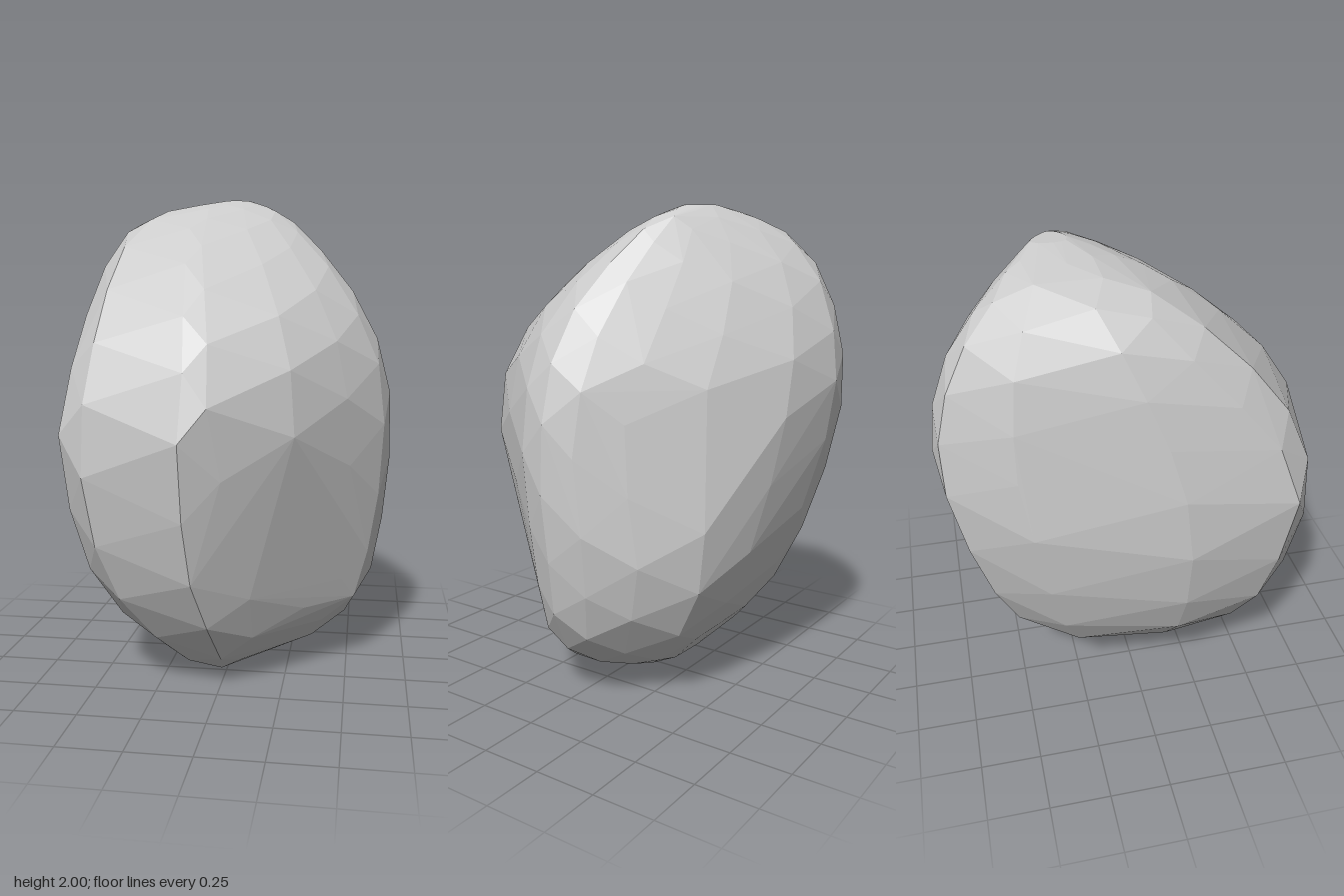
import * as THREE from 'three';
import { ConvexGeometry } from 'three/addons/geometries/ConvexGeometry.js';

// Rounded-triangle outlines in unit coordinates (u along x, v along z)
const LOWER = [
  [0.18, 0.01], [0.3, 0], [0.55, 0.02], [0.74, 0.06], [0.89, 0.2], [0.98, 0.33], [1, 0.45], [0.97, 0.53],
  [0.89, 0.6], [0.77, 0.71], [0.58, 0.88], [0.42, 1], [0.13, 0.94], [0.05, 0.86], [0, 0.58], [0.05, 0.19],
];
const MIDDLE = [
  [0.18, 0.01], [0.28, 0], [0.5, 0.045], [0.73, 0.19], [0.88, 0.32], [0.97, 0.41], [1, 0.49], [0.98, 0.56],
  [0.87, 0.7], [0.72, 0.86], [0.5, 0.985], [0.43, 1], [0.14, 0.94], [0.06, 0.885], [0, 0.58], [0.05, 0.19],
];
const UPPER = [
  [0.18, 0.02], [0.28, 0], [0.45, 0.06], [0.65, 0.19], [0.82, 0.33], [0.95, 0.46], [1, 0.57], [0.97, 0.67],
  [0.87, 0.79], [0.72, 0.9], [0.5, 0.99], [0.43, 1], [0.14, 0.94], [0.05, 0.8], [0, 0.58], [0.04, 0.2],
];

// Extent of the stone at each height: xMin, xMax, zMin, zMax
const HEIGHTS = [0, 0.03, 0.12, 0.3, 0.5, 0.75, 1.05, 1.3, 1.5, 1.7, 1.85, 1.95, 2];
const EXTENTS = [
  [-0.05, 0.08, 0.02, 0.16],
  [-0.13, 0.15, -0.15, 0.3],
  [-0.26, 0.37, -0.28, 0.43],
  [-0.45, 0.56, -0.46, 0.58],
  [-0.57, 0.62, -0.57, 0.68],
  [-0.64, 0.66, -0.66, 0.74],
  [-0.672, 0.672, -0.74, 0.782],
  [-0.64, 0.645, -0.782, 0.715],
  [-0.615, 0.56, -0.76, 0.58],
  [-0.575, 0.43, -0.69, 0.37],
  [-0.5, 0.285, -0.58, 0.17],
  [-0.34, 0.17, -0.45, -0.04],
  [-0.08, 0.04, -0.34, -0.2],
];

export function createModel() {
  const { lerp, smoothstep } = THREE.MathUtils;
  const extentAt = new THREE.CubicInterpolant(HEIGHTS, EXTENTS.flat(), 4);
  const points = [];

  // Point on the surface in column i at height y
  const surfacePoint = (i, y) => {
    const [x0, x1, z0, z1] = extentAt.evaluate(y);
    const toMiddle = smoothstep(y, 0.5, 1.2);
    const toUpper = smoothstep(y, 1.1, 1.7);
    const [u, v] = [0, 1].map((k) => lerp(lerp(LOWER[i][k], MIDDLE[i][k], toMiddle), UPPER[i][k], toUpper));
    return new THREE.Vector3(lerp(x0, x1, u), y, lerp(z0, z1, v));
  };

  // Stagger every second column by half a level, so the facets interlock
  const last = HEIGHTS.length - 1;
  HEIGHTS.forEach((y, level) => {
    MIDDLE.forEach((_, i) => {
      const staggered = i % 2 === 0 && level > 0 && level < last;
      points.push(surfacePoint(i, staggered ? (y + HEIGHTS[level + 1]) / 2 : y));
    });
  });

  // Faceted convex boulder stretched over the points
  const boulder = new THREE.Mesh(
    new ConvexGeometry(points),
    new THREE.MeshStandardMaterial({ color: 0xcccccc, flatShading: true }),
  );
  boulder.name = 'boulder';

  const group = new THREE.Group();
  group.name = 'rock';
  group.add(boulder);
  return group;
}
